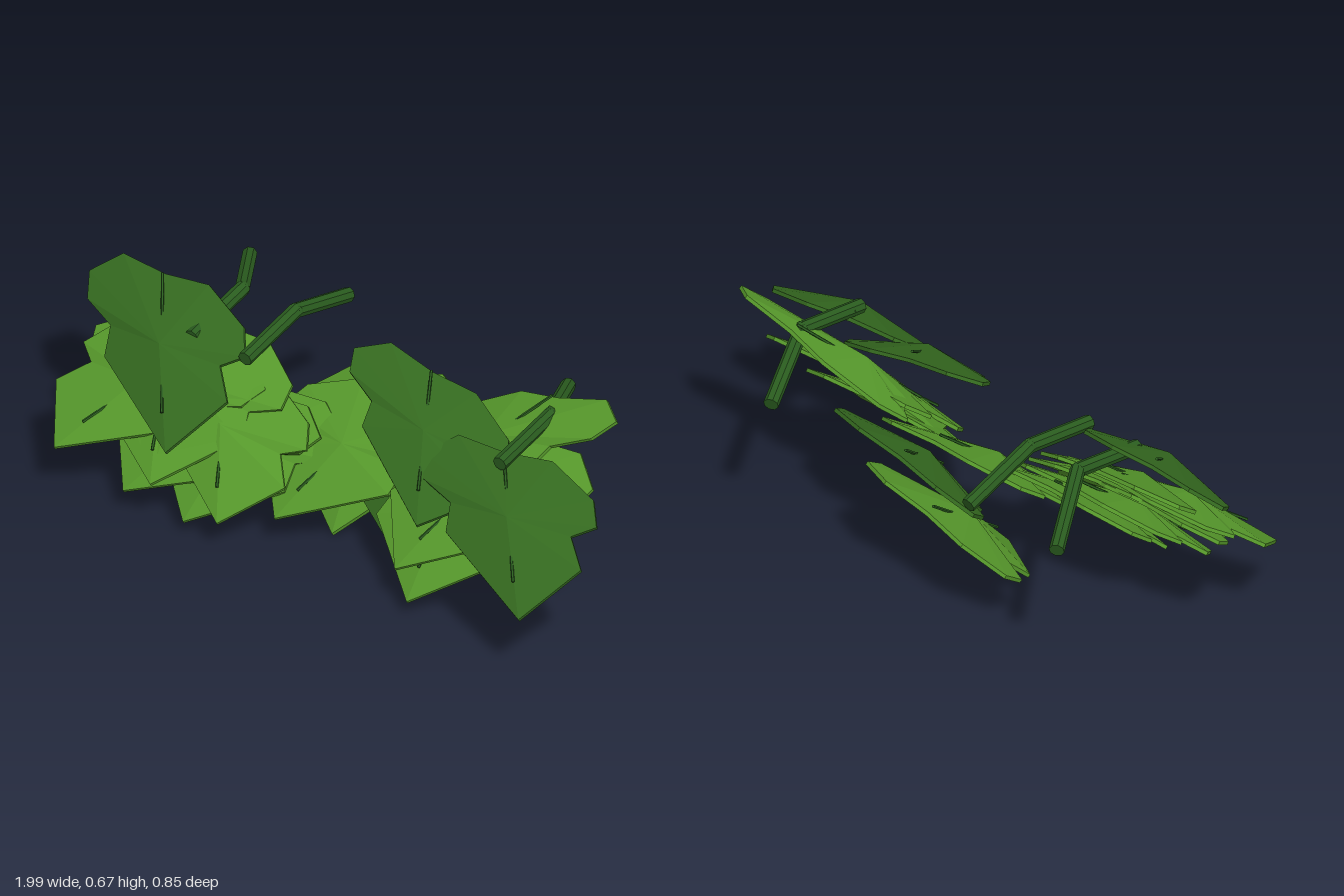
import * as THREE from 'three';

const material = (name, color) => {
  const m = new THREE.MeshStandardMaterial({ color, flatShading: true });
  m.name = name;
  return m;
};

// Half outline of a lobed leaf: across in units, along as a fraction from tip to back, height
const HALF = [
  [0, 0, 0], [0.23, 0.4, 0], [0.205, 0.58, 0.005], [0.295, 0.68, 0],
  [0.29, 0.84, -0.005], [0.16, 1, 0], [0, 0.97, 0.005],
];
const OUTLINE = [...HALF, ...HALF.slice(1, -1).reverse().map(([u, v, h]) => [-u, v, h])];
const CENTRE = [0, 0.56, 0.052];
const THICK = 0.012;

// Tip and back positions, roll (positive lifts the +x side), yaw (negative moves the +x side back)
const DARK = [
  [[-0.45, 0.31, 0.375], [-0.75, 0.635, -0.04], 0.04, 0],
  [[0.43, 0.35, 0.29], [0.21, 0.625, -0.1], -0.18, 0],
  [[0.9, 0.26, 0.41], [0.575, 0.55, 0.03], 0.02, -0.14],
  [[0.3, 0.056, 0.165], [0.1, 0.4, -0.26], 0.22, 0],
];
const LIGHT = [
  [[-0.045, 0.012, 0.075], [-0.115, 0.345, -0.37], 0.27, 0],
  [[0.4, 0.065, 0.3], [0.4, 0.42, -0.1], 0, 0],
  [[-0.41, 0.055, 0.34], [-0.32, 0.38, -0.05], 0, 0],
  [[-0.62, 0.095, 0.36], [-0.35, 0.38, 0], 0, 0],
  [[-0.265, 0.12, 0.365], [-0.47, 0.45, 0], -0.1, 0],
  [[-0.14, 0.12, 0.24], [0.06, 0.43, -0.16], 0, 0],
  [[-0.835, 0.2, 0.42], [-0.545, 0.48, 0], 0, 0],
  [[-0.5, 0.18, 0.385], [-0.68, 0.455, 0], 0, 0],
  [[-0.52, 0.2, 0.36], [-0.53, 0.53, -0.05], -0.1, 0],
  [[0.26, 0.27, 0.13], [0.61, 0.62, -0.22], 0.3, 0],
  [[0.34, 0.15, 0.28], [0.57, 0.5, -0.14], 0, 0],
];

// Thin folded leaf built as a fan on each face, joined by a rim
function leafParts(tip, back, roll, yaw) {
  const origin = new THREE.Vector3(...tip);
  const along = new THREE.Vector3(...back).sub(origin);
  const side = new THREE.Vector3(1, roll, yaw);
  const up = side.clone().cross(along).normalize();
  const at = ([u, v, h], drop = 0) => origin.clone()
    .addScaledVector(side, u)
    .addScaledVector(along, v)
    .addScaledVector(up, h - drop);

  const pos = [];
  const tri = (...pts) => pts.forEach((p) => pos.push(p.x, p.y, p.z));
  OUTLINE.forEach((p, i) => {
    const q = OUTLINE[(i + 1) % OUTLINE.length];
    const [a, b, c, d] = [at(p), at(q), at(p, THICK), at(q, THICK)];
    tri(at(CENTRE), a, b);
    tri(at(CENTRE, THICK), d, c);
    tri(a, c, d);
    tri(a, d, b);
  });
  const blade = new THREE.BufferGeometry();
  blade.setAttribute('position', new THREE.Float32BufferAttribute(pos, 3));
  blade.computeVertexNormals();
  return { blade, ribStart: at([0, 0.2, 0.028]), ribEnd: at([0, 0.96, 0.028]) };
}

// Straight rod between two points
function rod(a, b, radius, sides, mat, name) {
  const dir = b.clone().sub(a);
  const mesh = new THREE.Mesh(new THREE.CylinderGeometry(radius, radius, dir.length(), sides), mat);
  mesh.position.copy(a).add(b).multiplyScalar(0.5);
  mesh.quaternion.setFromUnitVectors(new THREE.Vector3(0, 1, 0), dir.normalize());
  mesh.name = name;
  return mesh;
}

export function createModel() {
  const model = new THREE.Group();
  model.name = 'leafCluster';
  const dark = material('dark leaf green', 0x34691f);
  const light = material('light leaf green', 0x56982b);
  const stemGreen = material('stem green', 0x2a5c1f);

  // Leaves, each with a thin rib running through it
  const addLeaves = (list, mat, name) => list.forEach((spec) => {
    const leaf = new THREE.Group();
    leaf.name = name;
    const { blade, ribStart, ribEnd } = leafParts(...spec);
    const mesh = new THREE.Mesh(blade, mat);
    mesh.name = 'leafBlade';
    leaf.add(mesh, rod(ribStart, ribEnd, 0.005, 5, stemGreen, 'leafRib'));
    model.add(leaf);
  });
  addLeaves(DARK, dark, 'darkLeaf');
  addLeaves(LIGHT, light, 'lightLeaf');

  // Bent stems: x at the back end and x of the straight front part
  for (const [x0, x1] of [[-0.345, -0.345], [-0.715, -0.545], [0.48, 0.61]]) {
    const stem = new THREE.Group();
    stem.name = 'stem';
    const start = new THREE.Vector3(x0, 0.495, -0.42);
    const bend = new THREE.Vector3(x1, 0.585, -0.15);
    const end = new THREE.Vector3(x1, 0.55, 0.11);
    const joint = new THREE.Mesh(new THREE.IcosahedronGeometry(0.024, 1), stemGreen);
    joint.position.copy(bend);
    joint.name = 'stemJoint';
    stem.add(
      rod(start, bend, 0.024, 8, stemGreen, 'stemBack'),
      rod(bend, end, 0.024, 8, stemGreen, 'stemFront'),
      joint,
    );
    model.add(stem);
  }
  return model;
}
